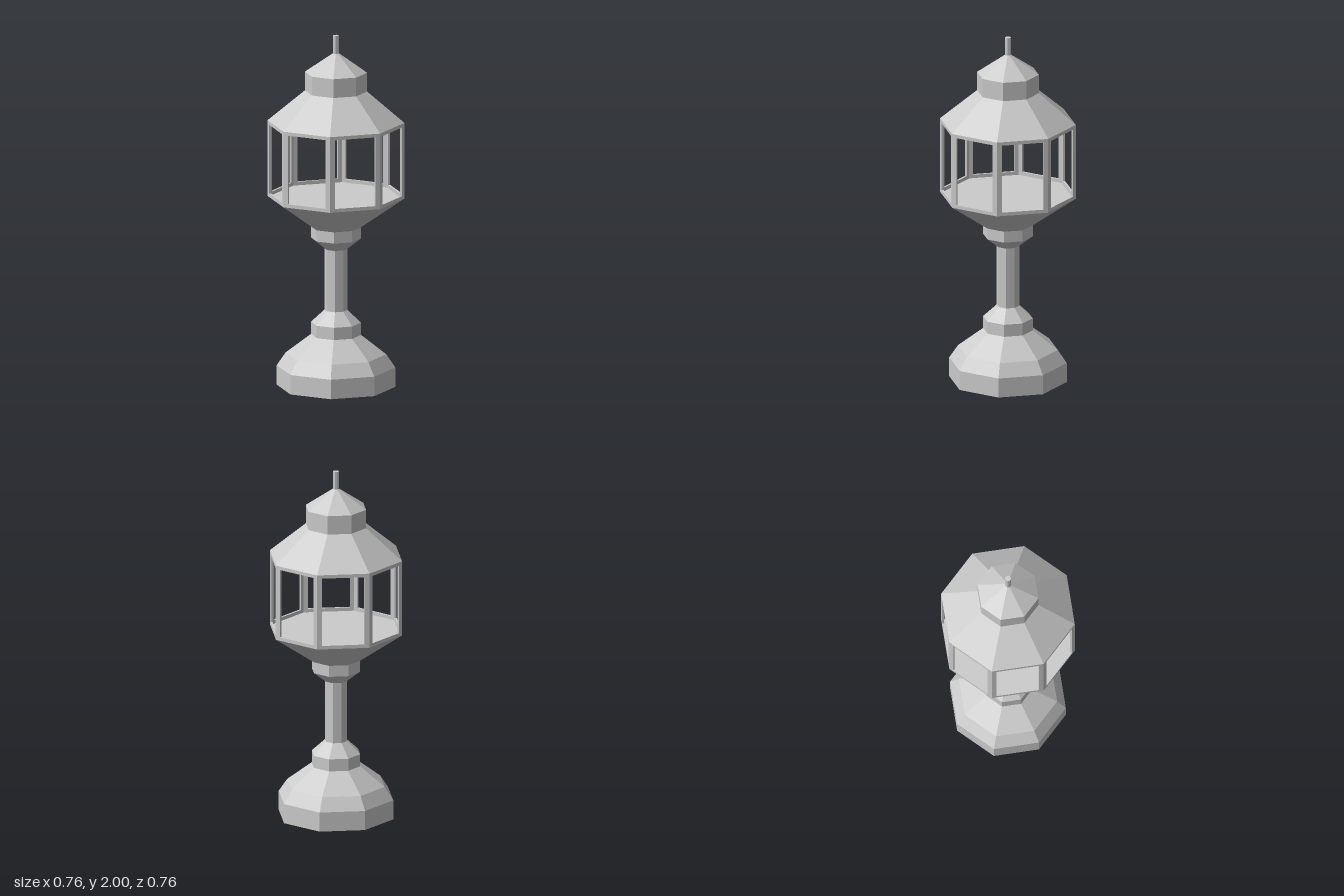
import * as THREE from 'three';

const SIDES = 8;
const material = new THREE.MeshStandardMaterial({ color: 0xcccccc, flatShading: true });

// Octagonal solid from [radius, y] pairs, listed bottom to top
function turned(name, profile) {
  const points = profile.map(([r, y]) => new THREE.Vector2(r, y));
  const mesh = new THREE.Mesh(new THREE.LatheGeometry(points, SIDES), material);
  mesh.name = name;
  return mesh;
}

// Eight open window frames forming the lantern cage
function windowCage(radius, bottom, top) {
  const cage = new THREE.Group();
  cage.name = 'windowCage';
  const depth = 0.012, post = 0.028, rail = 0.02;
  const half = radius * Math.sin(Math.PI / SIDES);
  const apothem = radius * Math.cos(Math.PI / SIDES);
  const rect = (path, x, y0, y1) =>
    path.moveTo(-x, y0).lineTo(x, y0).lineTo(x, y1).lineTo(-x, y1).closePath();

  const shape = new THREE.Shape();
  rect(shape, half, bottom, top);
  const opening = new THREE.Path();
  rect(opening, half - post, bottom + rail, top - rail);
  shape.holes.push(opening);

  const geometry = new THREE.ExtrudeGeometry(shape, { depth, bevelEnabled: false });
  geometry.translate(0, 0, apothem - depth);
  for (let i = 0; i < SIDES; i++) {
    const frame = new THREE.Mesh(geometry, material);
    frame.name = 'windowFrame';
    frame.rotation.y = ((i + 0.5) * 2 * Math.PI) / SIDES;
    cage.add(frame);
  }
  return cage;
}

export function createModel() {
  const model = new THREE.Group();
  model.name = 'lamp';
  model.add(
    // Stepped foot with collar
    turned('base', [[0, 0], [0.331, 0], [0.331, 0.111], [0.281, 0.185], [0.14, 0.293],
      [0.14, 0.363], [0.064, 0.434], [0, 0.434]]),
    turned('column', [[0, 0.42], [0.064, 0.42], [0.064, 0.8], [0, 0.8]]),
    // Collar and bowl, closed by the lantern floor
    turned('bowl', [[0, 0.784], [0.064, 0.784], [0.14, 0.844], [0.14, 0.908],
      [0.382, 1.076], [0, 1.076]]),
    windowCage(0.382, 1.076, 1.508),
    // Roof with raised cap, closed by the lantern ceiling
    turned('roof', [[0, 1.508], [0.382, 1.508], [0.174, 1.683], [0.174, 1.79], [0, 1.91]]),
    turned('finial', [[0, 1.88], [0.017, 1.88], [0.017, 2], [0, 2]]),
  );
  return model;
}
